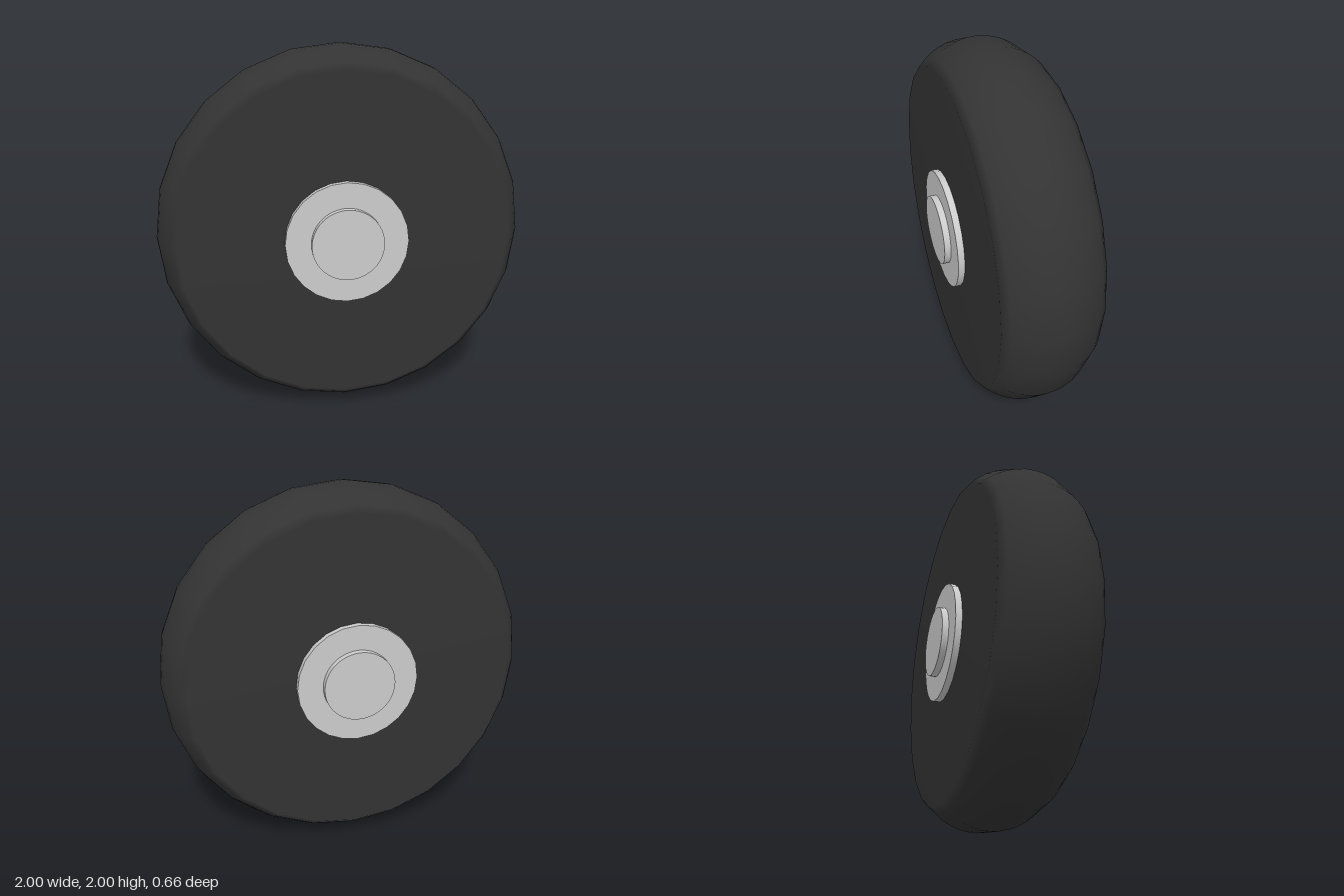
import * as THREE from 'three';

export function createModel() {
  const model = new THREE.Group();
  const rubber = new THREE.MeshStandardMaterial({ color: 0x333333 });
  const metal = new THREE.MeshStandardMaterial({ color: 0xcccccc });

  const add = (name, geometry, material, z = 0) => {
    geometry.rotateX(Math.PI / 2); // axle runs along z
    const mesh = new THREE.Mesh(geometry, material);
    mesh.name = name;
    mesh.position.set(0, 1, z);
    model.add(mesh);
  };

  // Tyre: flat side walls joined by a rounded tread
  const halfWidth = 0.26, shoulder = 0.88, bulge = 1 - shoulder;
  const treadRadius = (bulge ** 2 + halfWidth ** 2) / (2 * bulge);
  const sweep = Math.asin(halfWidth / treadRadius);
  const profile = [new THREE.Vector2(0, -halfWidth)];
  const steps = 12;
  for (let i = 0; i <= steps; i++) {
    const a = sweep * (2 * i / steps - 1);
    profile.push(new THREE.Vector2(
      1 - treadRadius + treadRadius * Math.cos(a), treadRadius * Math.sin(a)));
  }
  profile.push(new THREE.Vector2(0, halfWidth));
  add('tyre', new THREE.LatheGeometry(profile, 24), rubber);

  // Hub disc passing through the tyre, with a smaller axle cap on each side
  add('hubDisc', new THREE.CylinderGeometry(0.325, 0.325, 0.59, 24), metal);
  for (const [name, side] of [['frontAxleCap', 1], ['backAxleCap', -1]]) {
    add(name, new THREE.CylinderGeometry(0.19, 0.19, 0.05, 48), metal, side * 0.305);
  }
  return model;
}
